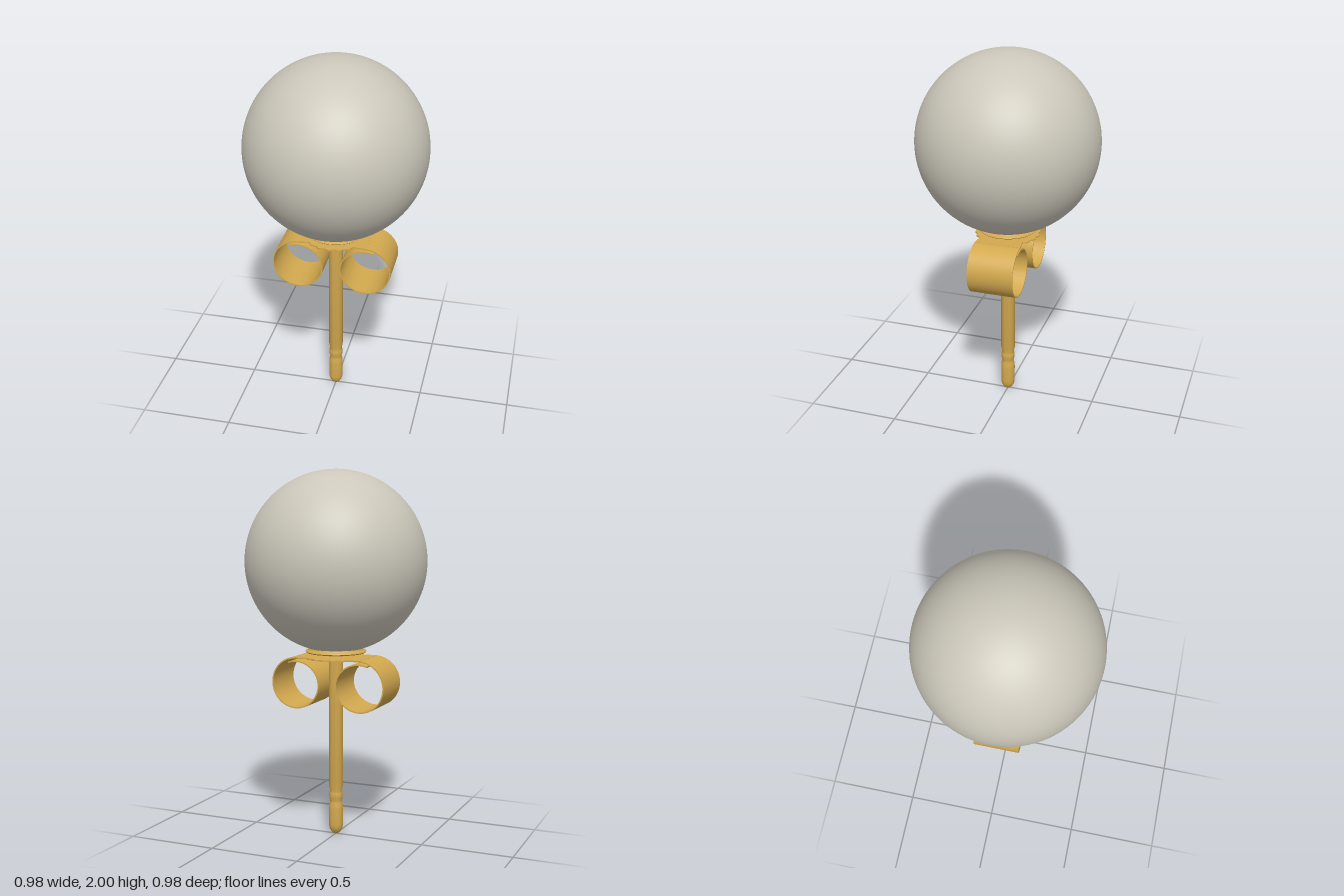
import * as THREE from 'three';
import { toCreasedNormals } from 'three/addons/utils/BufferGeometryUtils.js';

const V = (x, y) => new THREE.Vector2(x, y);

export function createModel() {
  const model = new THREE.Group();
  const pearl = new THREE.MeshStandardMaterial({ color: 0xcbc7ba });
  pearl.name = 'pearl grey';
  const gold = new THREE.MeshStandardMaterial({ color: 0xd3a94f });
  gold.name = 'gold';

  const add = (name, geometry, material, parent = model) => {
    const mesh = new THREE.Mesh(geometry, material);
    mesh.name = name;
    parent.add(mesh);
    return mesh;
  };

  // Pearl ball
  add('pearlBall', new THREE.SphereGeometry(0.488, 96, 64), pearl).position.y = 1.512;

  // Shallow cup with a rolled rim, holding the ball
  const cup = [V(0, 1.014), V(0.06, 1.014), V(0.13, 1.018), V(0.158, 1.022), V(0.165, 1.028),
    V(0.162, 1.034), V(0.152, 1.038), V(0.148, 1.046), V(0.138, 1.046), V(0, 1.03)];
  add('cup', toCreasedNormals(new THREE.LatheGeometry(cup, 64), 0.6), gold);

  // Post with a rounded tip and two friction grooves
  const post = [];
  for (let i = 0; i <= 8; i++) {
    const a = (i / 8) * Math.PI / 2;
    post.push(V(0.039 * Math.sin(a), 0.065 - 0.06 * Math.cos(a)));
  }
  post.push(V(0.039, 0.15), V(0.038, 0.17), V(0.033, 0.188), V(0.033, 0.196), V(0.037, 0.212),
    V(0.038, 0.225), V(0.037, 0.238), V(0.033, 0.252), V(0.034, 0.26), V(0.039, 0.278), V(0.039, 1.02));
  add('post', toCreasedNormals(new THREE.LatheGeometry(post, 32), 0.6), gold);

  // Butterfly clutch
  const clutch = new THREE.Group();
  clutch.name = 'clutch';
  model.add(clutch);

  // Flat plate: straight tabs towards the scrolls, scalloped round middle
  const plate = new THREE.Shape();
  const steps = 48, span = 0.78;
  for (const side of [1, -1]) {
    const from = side > 0 ? span : Math.PI + span;
    plate[side > 0 ? 'moveTo' : 'lineTo'](0.19 * side, 0.125 * side);
    for (let i = 0; i <= steps; i++) {
      const t = i / steps, a = from + t * (Math.PI - 2 * span);
      const r = 0.172 + 0.005 * Math.cos(t * Math.PI * 10 + Math.PI);
      plate.lineTo(r * Math.cos(a), r * Math.sin(a));
    }
    plate.lineTo(-0.19 * side, 0.125 * side);
  }
  plate.closePath();
  const plateGeometry = new THREE.ExtrudeGeometry(plate, { depth: 0.008, bevelEnabled: false });
  plateGeometry.rotateX(-Math.PI / 2).translate(0, 0.992, 0);
  add('clutchPlate', toCreasedNormals(plateGeometry, 0.5), gold, clutch);

  // Scrolls: a thin strip rolled outward, under and back up inside itself
  const outer = [], inner = [];
  for (let i = 0; i <= 80; i++) {
    const t = i / 80, a = Math.PI / 2 - t * Math.PI * 2.12;
    const r = 0.14 - 0.018 * THREE.MathUtils.smoothstep(t, 0.65, 0.95);
    const point = (d) => V(0.185 + d * Math.cos(a), 0.859 + d * Math.sin(a));
    outer.push(point(r));
    inner.unshift(point(r - 0.007));
  }
  const strip = new THREE.Shape([...outer, ...inner]);
  const scroll = new THREE.ExtrudeGeometry(strip, { depth: 0.25, bevelEnabled: false });
  scroll.translate(0, 0, -0.125);
  const scrollGeometry = toCreasedNormals(scroll, 0.5);
  add('leftScroll', scrollGeometry, gold, clutch);
  add('rightScroll', scrollGeometry, gold, clutch).rotation.y = Math.PI;

  return model;
}
